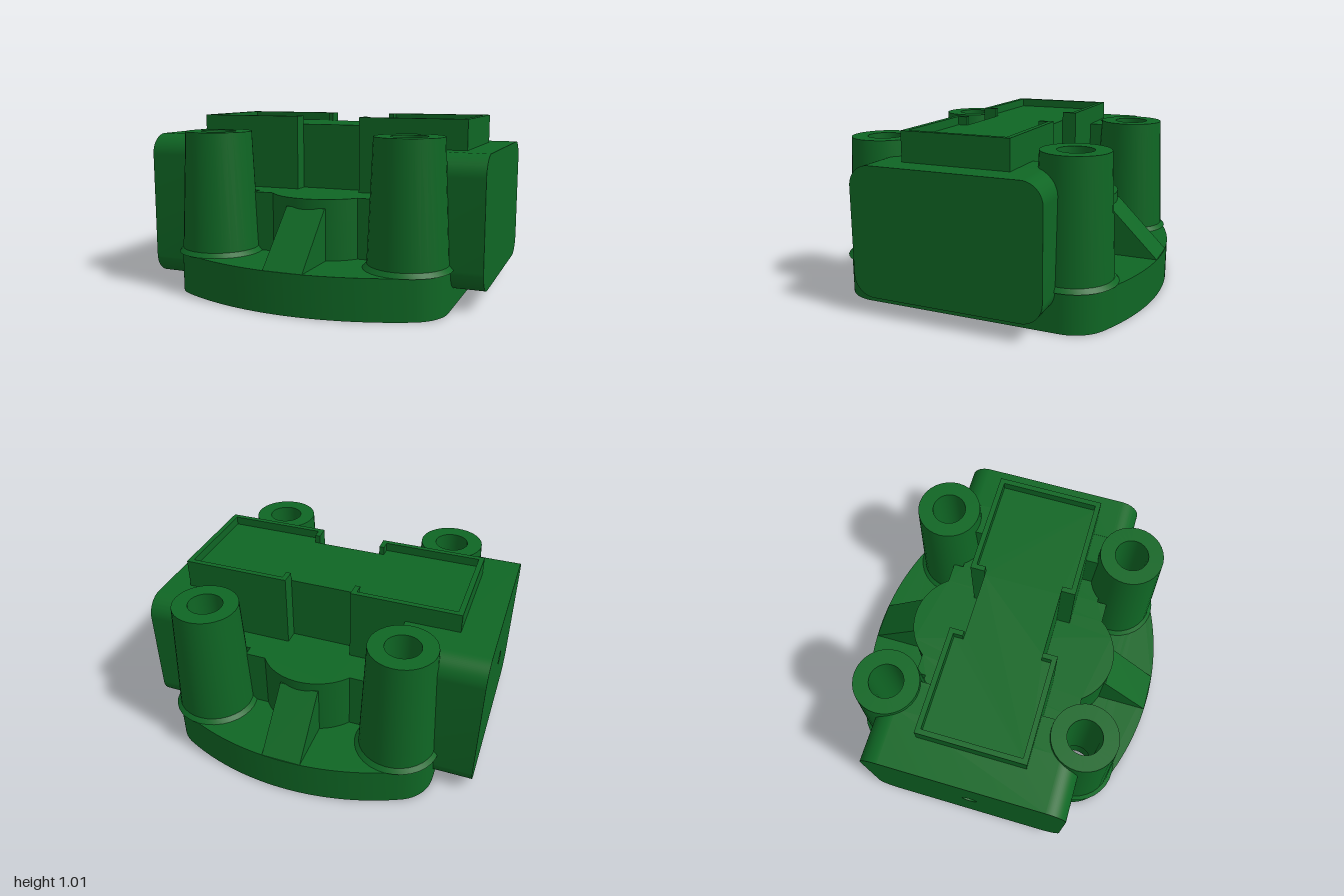
import * as THREE from 'three';
import { toCreasedNormals } from 'three/addons/utils/BufferGeometryUtils.js';

const CX = 0.025;                       // bolt pattern centre
const BOLT_X = [-0.55, 0.6], BOLT_Z = 0.575;
const PI = Math.PI;

export function createModel() {
  const group = new THREE.Group();
  const green = new THREE.MeshStandardMaterial({ color: 0x0f6624 });
  green.name = 'green paint';

  const add = (name, geo) => {
    const mesh = new THREE.Mesh(toCreasedNormals(geo, 0.5), green);
    mesh.name = name;
    group.add(mesh);
  };
  const circle = (x, z, r) => new THREE.Path().absarc(x, z, r, 0, 2 * PI, true);
  const polygon = (pts) => new THREE.Shape(pts.map(([x, y]) => new THREE.Vector2(x, y)));
  // extrude a plan outline (x, z) upward from y0 to y1
  const slab = (shape, y0, y1) =>
    new THREE.ExtrudeGeometry(shape, { depth: y1 - y0, bevelEnabled: false, curveSegments: 20 })
      .rotateX(-PI / 2).translate(0, y0, 0);
  const box = (x0, x1, y0, y1, z) =>
    new THREE.BoxGeometry(x1 - x0, y1 - y0, 2 * z).translate((x0 + x1) / 2, (y0 + y1) / 2, 0);

  // pockets open at the underside: two round bores, one side bore, one rounded square
  const pockets = () => {
    const square = new THREE.Path();
    square.moveTo(-0.32, 0.19);
    square.lineTo(-0.54, 0.19);
    square.quadraticCurveTo(-0.6, 0.19, -0.6, 0.13);
    square.lineTo(-0.6, -0.13);
    square.quadraticCurveTo(-0.6, -0.19, -0.54, -0.19);
    square.lineTo(-0.34, -0.19);
    square.lineTo(-0.25, -0.1);
    square.lineTo(-0.25, 0.1);
    square.lineTo(-0.32, 0.19);
    return [circle(CX, 0.32, 0.2), circle(CX, -0.32, 0.2), circle(0.41, 0, 0.165), square];
  };

  // base flange: shallow arcs front and back, tangent to round corner lobes
  const R = 1.562, r = 0.225, a = 1.127, dx = 0.575;
  const flange = new THREE.Shape();
  flange.absarc(CX + dx, BOLT_Z, r, 0, a, false);
  flange.absarc(CX, 0.93 - R, R, a, PI - a, false);
  flange.absarc(CX - dx, BOLT_Z, r, PI - a, PI, false);
  flange.absarc(CX - dx, -BOLT_Z, r, PI, PI + a, false);
  flange.absarc(CX, R - 0.93, R, PI + a, 2 * PI - a, false);
  flange.absarc(CX + dx, -BOLT_Z, r, 2 * PI - a, 2 * PI, false);
  flange.holes.push(...pockets());
  for (const x of BOLT_X) for (const z of [-BOLT_Z, BOLT_Z]) flange.holes.push(circle(x, z, 0.12));
  add('baseFlange', slab(flange, 0, 0.23));

  // tapered bolt bosses with through holes
  const bossProfile = [[0.1, 0.23], [0.245, 0.23], [0.222, 0.255], [0.19, 0.93], [0.1, 0.93], [0.1, 0.23]]
    .map(([x, y]) => new THREE.Vector2(x, y));
  for (const x of BOLT_X) for (const z of [-BOLT_Z, BOLT_Z])
    add('boltBoss', new THREE.LatheGeometry(bossProfile, 32).translate(x, 0, z));

  // central hub with round bulges front and back
  const hub = () => {
    const s = new THREE.Shape();
    const t = Math.asin(0.2 / 0.33);
    s.moveTo(0.78, -0.45);
    s.lineTo(0.78, 0.45);
    s.lineTo(0.41, 0.45);
    s.lineTo(0.41, 0.51);
    s.absarc(CX, 0.31, 0.33, t, PI - t, false);
    s.lineTo(-0.36, 0.51);
    s.lineTo(-0.36, 0.45);
    s.lineTo(-0.73, 0.45);
    s.lineTo(-0.73, -0.45);
    s.lineTo(-0.36, -0.45);
    s.lineTo(-0.36, -0.51);
    s.absarc(CX, -0.31, 0.33, PI + t, 2 * PI - t, false);
    s.lineTo(0.41, -0.51);
    s.lineTo(0.41, -0.45);
    return s;
  };
  const hollowHub = hub();
  hollowHub.holes.push(...pockets());
  add('hubWalls', slab(hollowHub, 0.23, 0.45));
  add('hubTop', slab(hub(), 0.45, 0.575));

  // sloping ribs between hub and flange edge
  const rib = polygon([[0.56, 0.2], [0.92, 0.2], [0.925, 0.23], [0.63, 0.525], [0.56, 0.525]]);
  const ribGeo = () => new THREE.ExtrudeGeometry(rib, { depth: 0.23, bevelEnabled: false });
  add('frontRib', ribGeo().rotateY(-PI / 2).translate(0.14, 0, 0));
  add('backRib', ribGeo().rotateY(PI / 2).translate(-0.09, 0, 0));

  // rounded end blocks along x
  const endBlock = (x0, x1, y0, y1, z, c, port) => {
    const s = new THREE.Shape();
    s.absarc(z - c, y1 - c, c, 0, PI / 2, false);
    s.absarc(c - z, y1 - c, c, PI / 2, PI, false);
    s.absarc(c - z, y0 + c, c, PI, 1.5 * PI, false);
    s.absarc(z - c, y0 + c, c, 1.5 * PI, 2 * PI, false);
    if (port) s.holes.push(circle(-0.03, 0.52, 0.045));
    return new THREE.ExtrudeGeometry(s, { depth: x1 - x0, bevelEnabled: false, curveSegments: 10 })
      .rotateY(PI / 2).translate(x0, 0, 0);
  };
  add('rightEndBlock', endBlock(-1, -0.68, 0.04, 0.9, 0.595, 0.12, true));
  add('leftEndBlock', endBlock(0.73, 1, 0.105, 0.84, 0.55, 0.12, false));
  add('rightInnerBlock', box(-0.69, -0.49, 0.45, 0.899, 0.45));
  add('leftInnerBlock', box(0.54, 0.74, 0.45, 0.839, 0.45));

  // waisted upper body carrying the two trays
  const A = [-0.8, 0.85], B = [-0.17, 0.22], W = 0.315, N = 0.23;
  add('upperBody', slab(polygon([
    [A[0], -W], [B[0], -W], [B[0], -N], [B[1], -N], [B[1], -W], [A[1], -W],
    [A[1], W], [B[1], W], [B[1], N], [B[0], N], [B[0], W], [A[0], W]]), 0.45, 0.96));

  // thin C-shaped rims around the trays
  A.forEach((end, i) => {
    const s = Math.sign(end), b = B[i], t = 0.03 * s, w = W - 0.03;
    add(s < 0 ? 'rightTrayRim' : 'leftTrayRim', slab(polygon([
      [b, N], [b, W], [end, W], [end, -W], [b, -W], [b, -N],
      [b + t, -N], [b + t, -w], [end - t, -w], [end - t, w], [b + t, w], [b + t, N]]), 0.96, 1.01));
  });

  return group;
}
